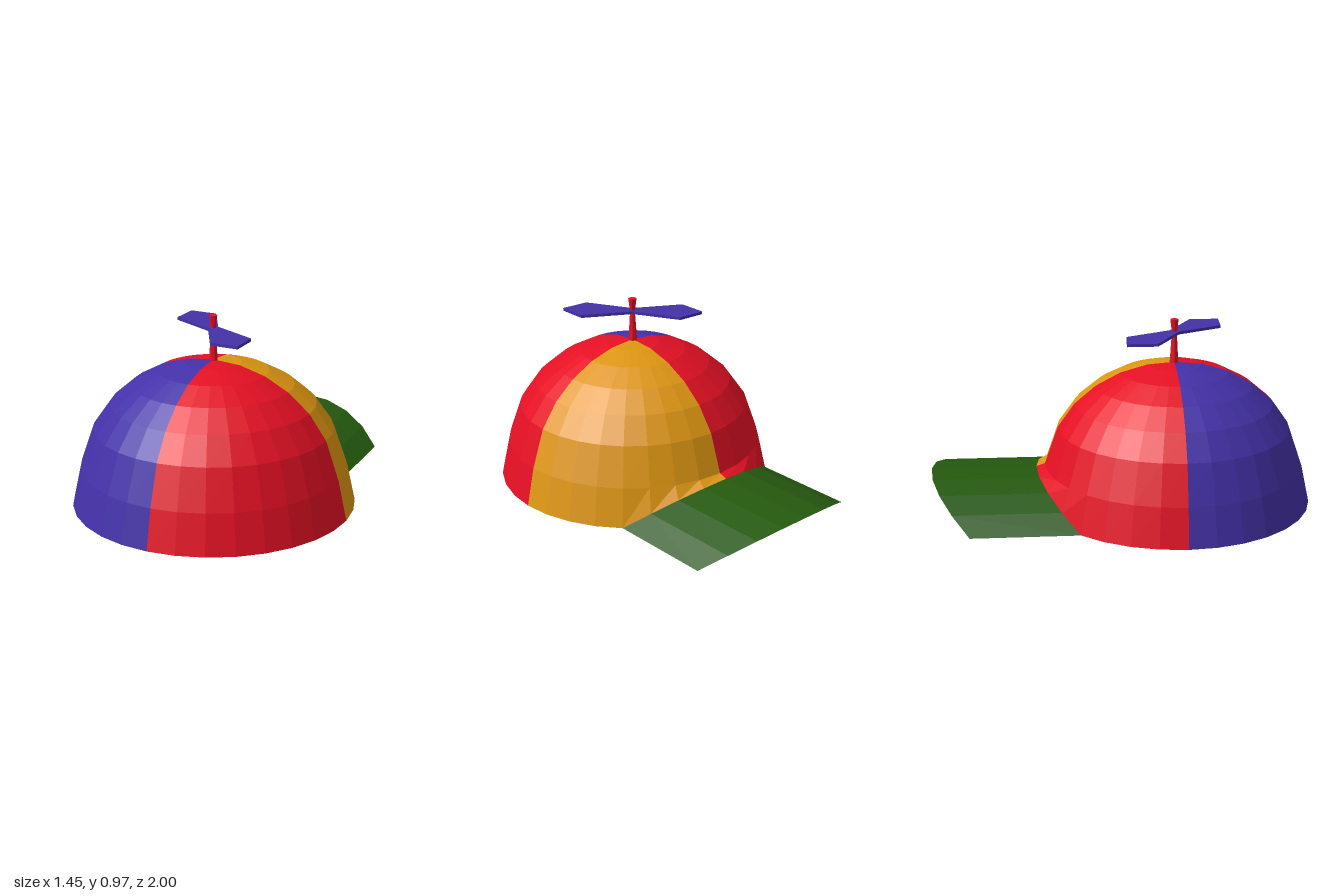
import * as THREE from 'three';

const mat = (name, color) => {
  const m = new THREE.MeshStandardMaterial({ color, side: THREE.DoubleSide });
  m.name = name;
  return m;
};

const SEGMENTS = 32;
const RIM = 0.725;
const BRIM_RISE = 0.185;
const BRIM_LENGTH = 0.55;

// Faceted surface through rows of points, listed bottom to top
function facetedSurface(rows) {
  const pos = [];
  const tri = (...pts) => pts.forEach((p) => pos.push(p.x, p.y, p.z));
  for (let r = 0; r < rows.length - 1; r++) {
    const lo = rows[r], hi = rows[r + 1];
    for (let i = 0; i < lo.length - 1; i++) {
      tri(lo[i], lo[i + 1], hi[i + 1]);
      if (hi[i].distanceTo(hi[i + 1]) > 1e-5) tri(lo[i], hi[i + 1], hi[i]);
    }
  }
  const g = new THREE.BufferGeometry();
  g.setAttribute('position', new THREE.Float32BufferAttribute(pos, 3));
  g.computeVertexNormals();
  return g;
}

// Part of a horizontal ring, from one segment index to another (0 is +z, 8 is +x)
function arc(radius, y, from, to) {
  const pts = [];
  for (let i = from; i <= to; i++) {
    const a = (i / SEGMENTS) * Math.PI * 2;
    pts.push(new THREE.Vector3(radius * Math.sin(a), y, radius * Math.cos(a)));
  }
  return pts;
}

// Bottom edge, arched upward where the brim joins at the back
function rimArc(from, to) {
  const start = Math.SQRT1_2;
  return arc(RIM, 0, from, to).map((p) => {
    p.y = BRIM_RISE * Math.max(0, (-p.z / RIM - start) / (1 - start));
    return p;
  });
}

export function createModel() {
  const red = mat('red', 0xe51024);
  const blue = mat('blue', 0x4431a8);
  const yellow = mat('yellow', 0xde9612);
  const green = mat('green', 0x25590f);

  const model = new THREE.Group();
  model.name = 'propellerCap';
  const add = (name, geometry, material) => {
    const mesh = new THREE.Mesh(geometry, material);
    mesh.name = name;
    mesh.position.z = 0.275;
    model.add(mesh);
    return mesh;
  };

  // Crown: four open quarter panels
  const profile = [[0.68, 0.2], [0.61, 0.4], [0.52, 0.527], [0.408, 0.622],
    [0.28, 0.69], [0.142, 0.73], [0, 0.742]];
  const panels = [['frontLeftPanel', red], ['backLeftPanel', yellow],
    ['backRightPanel', red], ['frontRightPanel', blue]];
  panels.forEach(([name, material], q) => {
    const from = q * 8, to = from + 8;
    const rows = [rimArc(from, to), ...profile.map(([r, y]) => arc(r, y, from, to))];
    add(name, facetedSurface(rows), material);
  });

  // Brim: the arched rim swept straight back
  const inner = rimArc(12, 20);
  const outer = inner.map((p) => p.clone().setZ(p.z - BRIM_LENGTH));
  add('brim', facetedSurface([outer, inner]), green);

  // Spindle: tapered post with a flared, closed top
  const spindle = new THREE.LatheGeometry([[0.023, 0.735], [0.013, 0.9], [0.022, 0.97], [0, 0.97]]
    .map(([x, y]) => new THREE.Vector2(x, y)), 8).toNonIndexed();
  spindle.computeVertexNormals();
  add('spindle', spindle, red);

  // Propeller: flat plate, two blades with half-turn symmetry
  const half = [[-0.255, -0.265], [-0.108, -0.257], [0.017, -0.022], [0.255, 0.11]];
  const outline = [...half, ...half.map(([x, z]) => [-x, -z])];
  const blades = new THREE.ExtrudeGeometry(
    new THREE.Shape(outline.map(([x, z]) => new THREE.Vector2(x, z))),
    { depth: 0.015, bevelEnabled: false });
  blades.rotateX(Math.PI / 2);
  add('propeller', blades, blue).position.y = 0.907;

  return model;
}
